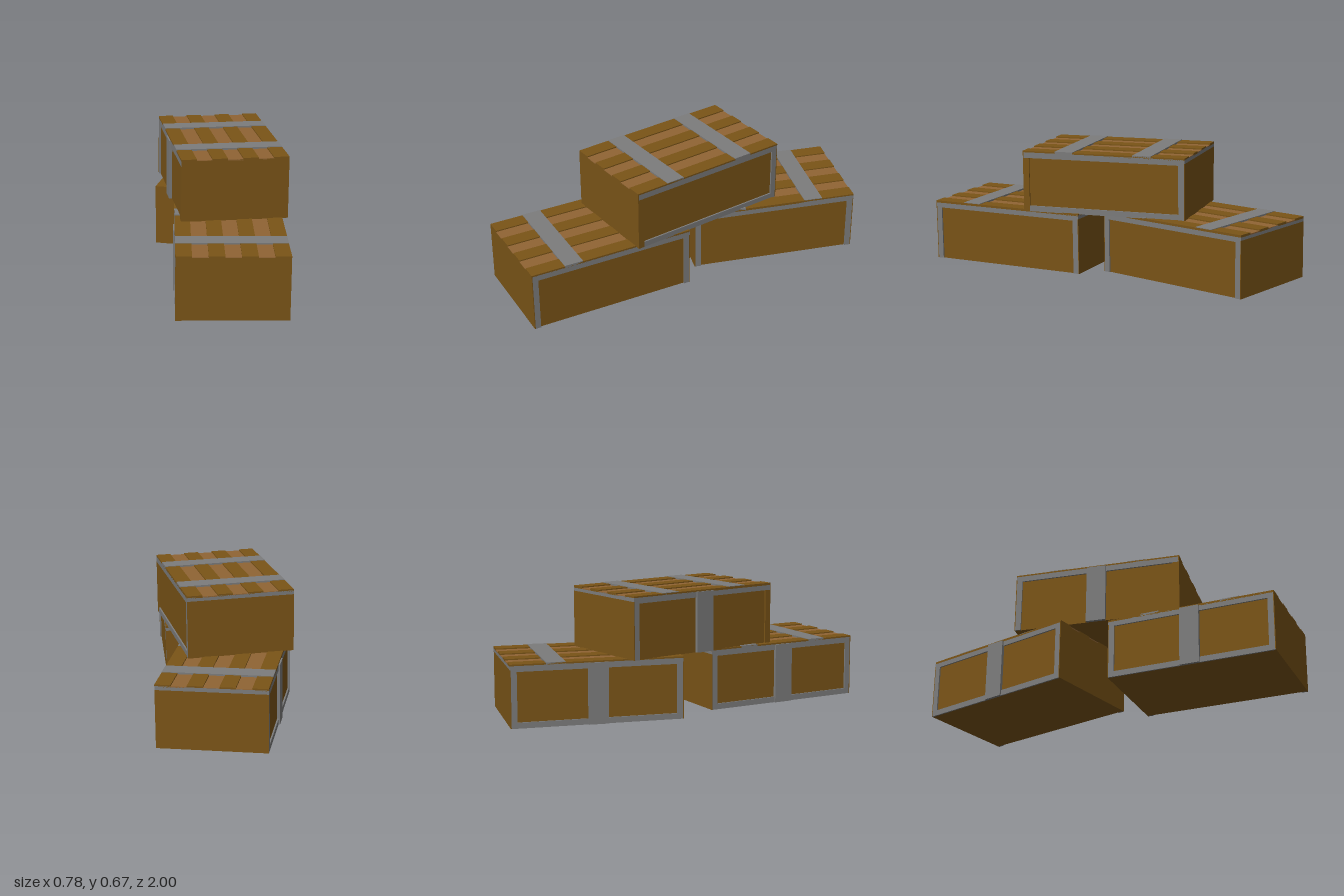
import * as THREE from 'three';

const brown = new THREE.MeshStandardMaterial({ color: 0x7a5417 });
const lightBrown = new THREE.MeshStandardMaterial({ color: 0x906434 });
const grey = new THREE.MeshStandardMaterial({ color: 0x7c7c7c });

// Crate size, rim height under the lid, and thickness of the metal trim
const W = 0.55, L = 0.892, H = 0.325, RIM = 0.317, T = 0.008, BAND = 0.03;

// Box given by its minimum and maximum corners
function block(parent, name, material, [x0, y0, z0], [x1, y1, z1]) {
  const mesh = new THREE.Mesh(new THREE.BoxGeometry(x1 - x0, y1 - y0, z1 - z0), material);
  mesh.position.set((x0 + x1) / 2, (y0 + y1) / 2, (z0 + z1) / 2);
  mesh.name = name;
  parent.add(mesh);
}

function createCrate(name, { frontPosts, bottomLeft, bottomRight }) {
  const crate = new THREE.Group();
  crate.name = name;
  const w = W / 2, l = L / 2;

  // Body with recessed long sides, and full-width end boards
  block(crate, 'body', brown, [-w + T, 0, -l + 0.004], [w - T, RIM, l - 0.004]);
  block(crate, 'frontBoard', brown, [-w, 0, l - 0.004], [w, RIM, l]);
  block(crate, 'backBoard', brown, [-w, 0, -l], [w, RIM - 0.02, -l + 0.004]);
  block(crate, 'backTrim', grey, [-w, RIM - 0.02, -l], [w, RIM, -l + 0.004]);

  // Metal frame on both long sides
  for (const side of [-1, 1]) {
    const a = side < 0 ? -w : w - T, b = a + T;
    const zf = l - 0.004, zb = -l + 0.004;
    block(crate, 'topRail', grey, [a, RIM - BAND, zb], [b, RIM, zf]);
    block(crate, 'backPost', grey, [a, 0, zb], [b, RIM - BAND, zb + BAND]);
    block(crate, 'frontPost', frontPosts ? grey : brown, [a, 0, zf - BAND], [b, RIM - BAND, zf]);
    if (side > 0 ? bottomLeft : bottomRight) {
      block(crate, 'bottomRail', grey, [a, 0, zb + BAND], [b, BAND, zf - BAND]);
    }
  }
  // Upright strap in the middle of one side
  block(crate, 'sideStrap', grey, [-w - 0.008, 0, -0.052], [-w + T, RIM, 0.052]);

  // Lid slats, alternating in colour and height
  const n = 7, s = W / n;
  for (let i = 0; i < n; i++) {
    const odd = i % 2 === 1;
    block(crate, 'lidSlat', odd ? lightBrown : brown,
      [-w + i * s, RIM - 0.004, -l], [-w + (i + 1) * s, odd ? H - 0.006 : H, l]);
  }
  // Two straps across the lid
  for (const z of [-0.215, 0.215]) {
    block(crate, 'lidStrap', grey, [-w, RIM, z - 0.05], [w, H + 0.003, z + 0.05]);
  }
  return crate;
}

export function createModel() {
  const model = new THREE.Group();
  model.name = 'crateStack';

  // Name, position, small tilts and turn, trim variant
  const lower = { frontPosts: true, bottomLeft: false, bottomRight: true };
  const upper = { frontPosts: false, bottomLeft: true, bottomRight: false };
  const crates = [
    ['frontCrate', [-0.05, 0.008, 0.54], [0.007, -0.045, -0.0145], lower],
    ['backCrate', [-0.002, 0.0145, -0.497], [0.004, -0.287, -0.0145], lower],
    ['topCrate', [-0.048, 0.334, 0], [0.008, 0.085, -0.0145], upper],
  ];
  for (const [name, position, [rx, ry, rz], trim] of crates) {
    const crate = createCrate(name, trim);
    crate.position.set(...position);
    crate.rotation.set(rx, ry, rz, 'YXZ');
    model.add(crate);
  }
  return model;
}
